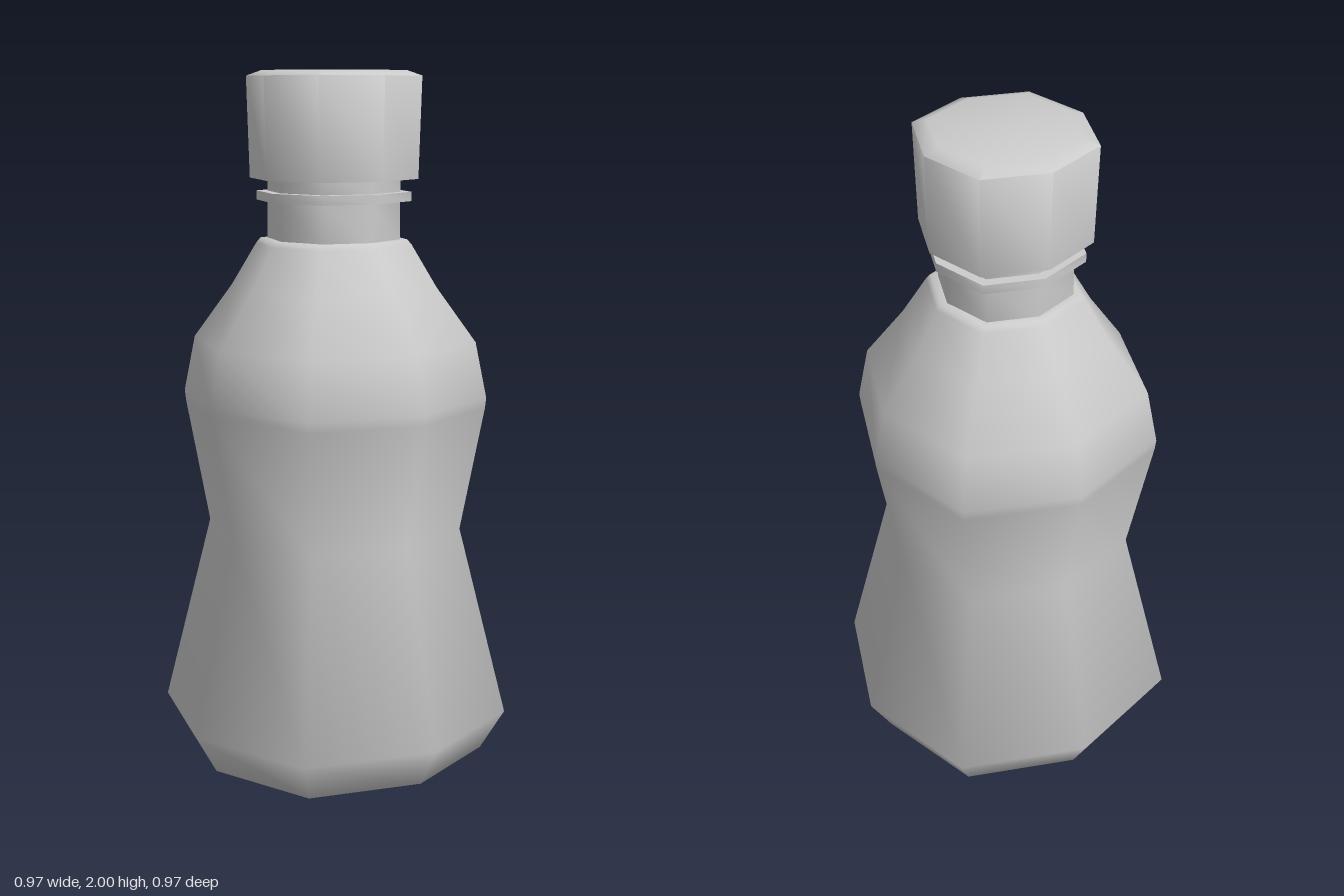
import * as THREE from 'three';
import { toCreasedNormals } from 'three/addons/utils/BufferGeometryUtils.js';

const material = new THREE.MeshStandardMaterial({ color: 0xcccccc });

// Eight-sided turned part; the diagonal corners sit slightly further out.
function turned(name, profile) {
  const points = profile.map(([r, y]) => new THREE.Vector2(r, y));
  const geometry = new THREE.LatheGeometry(points, 8);
  const pos = geometry.attributes.position;
  for (let i = 0; i < pos.count; i++) {
    const diagonal = Math.floor(i / points.length) % 2 === 1;
    const k = diagonal ? 1.06 : 1;
    pos.setXYZ(i, pos.getX(i) * k, pos.getY(i), pos.getZ(i) * k);
  }
  // Soft around the sides, crisp at right-angled steps
  const mesh = new THREE.Mesh(toCreasedNormals(geometry, 1.3), material);
  mesh.name = name;
  return mesh;
}

export function createModel() {
  const bottle = new THREE.Group();
  bottle.name = 'bottle';

  // Flared base, pinched waist and sloping shoulders
  bottle.add(turned('body', [
    [0, 0], [0.36, 0.006], [0.418, 0.018], [0.484, 0.135], [0.351, 0.69],
    [0.415, 1.05], [0.418, 1.08], [0.387, 1.24], [0.28, 1.395],
    [0.212, 1.515], [0.2, 1.53], [0.17, 1.53],
  ]));

  // Neck with its raised collar
  bottle.add(turned('neck', [
    [0.18, 1.52], [0.18, 1.638], [0.21, 1.638], [0.21, 1.664],
    [0.18, 1.664], [0.18, 1.72],
  ]));

  // Screw cap with a softened top edge
  bottle.add(turned('cap', [
    [0.16, 1.7], [0.228, 1.7], [0.236, 1.985], [0.195, 2], [0, 2],
  ]));

  return bottle;
}
